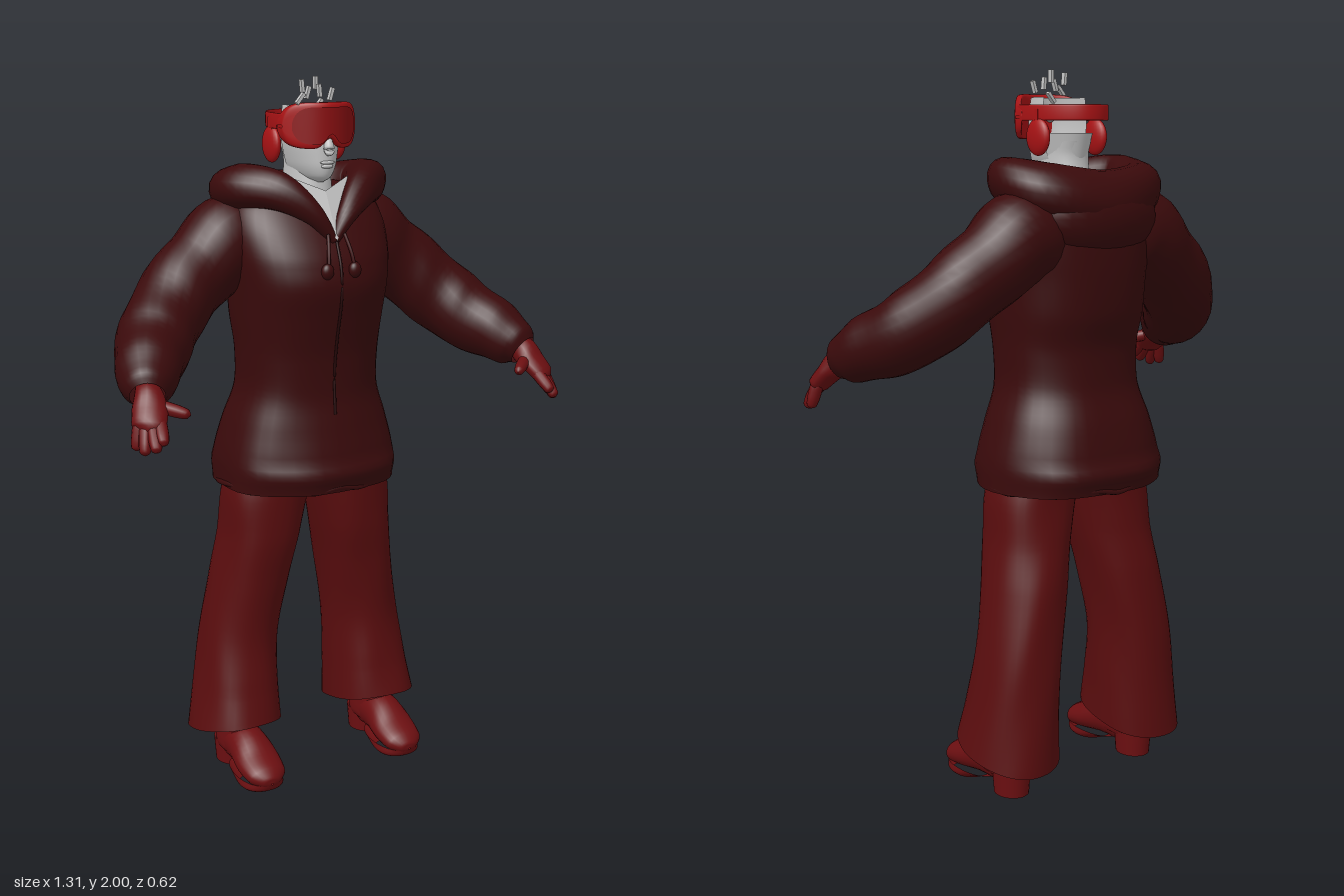
import * as THREE from 'three';

const mat = (name, color) => {
  const m = new THREE.MeshStandardMaterial({ color, side: THREE.DoubleSide });
  m.name = name;
  return m;
};
const V = (x, y, z) => new THREE.Vector3(x, y, z);

// Smooth surface from rows of points; optionally closed around each row
function surface(fn, rows, cols, wrap = true) {
  const pos = [], idx = [], n = wrap ? cols : cols + 1;
  for (let i = 0; i <= rows; i++)
    for (let j = 0; j < n; j++) pos.push(...fn(i / rows, j / cols).toArray());
  for (let i = 0; i < rows; i++)
    for (let j = 0; j < cols; j++) {
      const k = (j + 1) % n, a = i * n + j, b = i * n + k, c = a + n, d = b + n;
      idx.push(a, c, b, b, c, d);
    }
  const g = new THREE.BufferGeometry();
  g.setAttribute('position', new THREE.Float32BufferAttribute(pos, 3));
  g.setIndex(idx);
  g.computeVertexNormals();
  return g;
}

// Smooth interpolation of number triples
const spline = (list) => new THREE.CatmullRomCurve3(list.map((p) => V(...p)));

// Horizontal sections: [y, left x, right x, front z, back z, tilt]
function stack(sections, rows, wrinkle = () => 0, square = 0.9) {
  const a = spline(sections.map((s) => [s[0], s[1], s[2]]));
  const b = spline(sections.map((s) => [s[3], s[4], s[5] || 0]));
  return surface((u, v) => {
    const p = a.getPoint(u), q = b.getPoint(u), t = -v * Math.PI * 2;
    const c = Math.cos(t), s = Math.sin(t);
    const bend = (w) => Math.sign(w) * Math.abs(w) ** square;
    const k = 1 + wrinkle(p.x, t);
    return V((p.y + p.z) / 2 + bend(c) * k * (p.z - p.y) / 2, p.x + q.z * s,
      (q.x + q.y) / 2 + bend(s) * k * (q.x - q.y) / 2);
  }, rows, 40);
}

// Tapered tube: [x, y, z, side radius, upward radius]
function limb(points, rows = 16, cols = 16, fold = () => 0) {
  const path = spline(points.map((p) => p.slice(0, 3)));
  const size = spline(points.map((p) => [p[3], p[4] ?? p[3], 0]));
  return surface((u, v) => {
    const p = path.getPoint(u), r = size.getPoint(u), T = path.getTangent(u);
    const S = T.clone().cross(V(0, 1, 0)).normalize(), B = S.clone().cross(T);
    const a = v * Math.PI * 2, k = 1 + fold(u, a);
    return p.addScaledVector(S, Math.cos(a) * r.x * k).addScaledVector(B, Math.sin(a) * r.y * k);
  }, rows, cols);
}

export function createModel() {
  const jacket = mat('dark maroon jacket', 0x3a0a0b);
  const cloth = mat('deep red trousers', 0x5a0d0e);
  const leather = mat('red gloves and boots', 0x6c0f11);
  const red = mat('bright red goggles', 0xa81214);
  const lensMat = mat('red lens', 0x8c1012);
  const skin = mat('pale grey skin', 0xc4c4c4);
  const seamMat = mat('dark seam', 0x240506);

  const model = new THREE.Group();
  const add = (name, geo, m, parent = model) => {
    const mesh = new THREE.Mesh(geo, m);
    mesh.name = name;
    parent.add(mesh);
    return mesh;
  };
  const pair = (name, geo, m) => {
    add('left' + name, geo, m);
    add('right' + name, geo, m).scale.x = -1;
  };
  const ball = (x, y, z, rx, ry, rz) =>
    new THREE.SphereGeometry(1, 24, 16).scale(rx, ry, rz).translate(x, y, z);

  // Jacket body, flared below the waist and softly creased
  const body = [
    [0.87, 0.262, 0.135, -0.3], [0.95, 0.26, 0.135, -0.3], [1.05, 0.235, 0.115, -0.278],
    [1.15, 0.203, 0.1, -0.245], [1.25, 0.203, 0.105, -0.24], [1.35, 0.213, 0.125, -0.262],
    [1.45, 0.222, 0.145, -0.27], [1.52, 0.232, 0.13, -0.27], [1.6, 0.235, 0.085, -0.262],
    [1.66, 0.215, 0.04, -0.24], [1.71, 0.12, 0, -0.18], [1.715, 0.01, -0.08, -0.1],
  ].map(([y, w, f, b]) => [y, -w, w, f, b]);
  add('jacketBody', stack(body, 60, (y, t) =>
    0.012 * Math.sin(t * 7 + y * 9) * Math.max(0, 1.35 - y) / 0.48, 0.85), jacket);
  // Uneven hem
  add('jacketHem', limb([...Array(25)].map((_, i) => {
    const a = i / 24 * Math.PI * 2;
    return [Math.cos(a) * 0.258, 0.878 + 0.006 * Math.sin(a * 9), -0.083 + Math.sin(a) * 0.215, 0.008];
  }), 96, 8), jacket);

  // Sleeves
  pair('Sleeve', limb([
    [0.12, 1.58, -0.13, 0.1], [0.2, 1.56, -0.13, 0.125], [0.3, 1.49, -0.12, 0.112],
    [0.4, 1.405, -0.085, 0.108], [0.48, 1.325, -0.015, 0.104], [0.54, 1.275, 0.08, 0.09],
    [0.573, 1.24, 0.15, 0.068], [0.583, 1.225, 0.175, 0.045],
  ], 40, 24, (u, a) => 0.025 * Math.sin(u * 34 + 2 * Math.sin(a))), jacket);

  // Lowered hood: a thick roll around the neck and a bag behind it
  const half = [[0.055, 1.645, 0.08, 0.03], [0.125, 1.7, 0.02, 0.052],
    [0.19, 1.705, -0.08, 0.066], [0.15, 1.675, -0.175, 0.08]];
  const flip = half.map(([x, ...r]) => [-x, ...r]).reverse();
  add('hoodRoll', limb([[0, 1.57, 0.1, 0.012], ...half, [0, 1.65, -0.21, 0.082], ...flip,
    [0, 1.57, 0.1, 0.012]], 70, 20, (u, a) => 0.05 * Math.sin(a * 3 + u * 20)), jacket);
  add('hoodBag', ball(0, 1.61, -0.195, 0.2, 0.12, 0.1), jacket);

  // Front opening, drawstrings and toggles
  add('frontSeam', limb([[0, 1.57, 0.113, 0.004], [0, 1.5, 0.139, 0.004], [0, 1.42, 0.142, 0.004],
    [0, 1.3, 0.116, 0.004], [0, 1.2, 0.102, 0.004], [0, 1.09, 0.108, 0.004]], 30, 8), seamMat);
  pair('Drawstring', limb([[0.025, 1.59, 0.11, 0.005], [0.035, 1.54, 0.132, 0.005],
    [0.04, 1.5, 0.142, 0.005]], 8, 8), jacket);
  pair('Toggle', ball(0.042, 1.495, 0.138, 0.018, 0.022, 0.016), jacket);

  // Flared trousers, hem raised over the instep
  pair('Trouser', stack([
    [0.98, -0.01, 0.2, 0.05, -0.21], [0.86, 0.005, 0.25, 0.05, -0.2], [0.72, 0.035, 0.262, 0.046, -0.21],
    [0.6, 0.062, 0.282, 0.03, -0.228], [0.42, 0.093, 0.312, 0.014, -0.24],
    [0.25, 0.1, 0.338, 0.036, -0.245, 0.01], [0.13, 0.1, 0.36, 0.058, -0.25, 0.04],
  ], 36, (y, t) => 0.012 * Math.sin(t * 5 + y * 14)), cloth);

  // Boots: shaft, foot with rounded toe, sole and heel
  pair('BootShaft', stack([[0.3, 0.18, 0.28, -0.02, -0.15], [0.15, 0.18, 0.28, 0.01, -0.15],
    [0.06, 0.178, 0.282, 0.02, -0.165], [0.05, 0.22, 0.24, -0.06, -0.09]], 12), leather);
  pair('BootFoot', limb([[0.23, 0.075, -0.15, 0.03, 0.035], [0.23, 0.085, -0.08, 0.052, 0.065],
    [0.23, 0.085, 0, 0.058, 0.062], [0.23, 0.062, 0.07, 0.066, 0.045],
    [0.23, 0.046, 0.125, 0.058, 0.034], [0.23, 0.036, 0.155, 0.025, 0.016],
    [0.23, 0.035, 0.159, 0.003, 0.003]], 28, 24), leather);
  pair('BootSole', stack([[0.003, 0.172, 0.288, 0.135, 0.015], [0.012, 0.165, 0.295, 0.148, 0],
    [0.03, 0.165, 0.295, 0.157, -0.06]], 6), leather);
  pair('BootHeel', new THREE.CylinderGeometry(0.052, 0.047, 0.07, 24).scale(1, 1, 1.15)
    .translate(0.23, 0.035, -0.112), leather);

  // Gloves: cuff, palm, four fingers and a thumb
  pair('GlovePalm', limb([[0.575, 1.24, 0.15, 0.03], [0.582, 1.225, 0.18, 0.038],
    [0.592, 1.198, 0.21, 0.046, 0.03], [0.608, 1.165, 0.24, 0.045, 0.026],
    [0.617, 1.145, 0.25, 0.01, 0.01]], 16, 18), leather);
  const fingers = [[0.582, 1.17, 0.25, 0.594, 1.128, 0.302], [0.6, 1.16, 0.25, 0.612, 1.11, 0.298],
    [0.617, 1.155, 0.24, 0.632, 1.098, 0.268], [0.626, 1.165, 0.222, 0.641, 1.103, 0.232],
    [0.57, 1.205, 0.205, 0.505, 1.185, 0.262]];
  fingers.forEach(([x, y, z, X, Y, Z], i) => {
    const at = (t, r) => [x + (X - x) * t, y + (Y - y) * t, z + (Z - z) * t, r];
    pair('GloveFinger' + (i + 1), limb([at(-0.3, 0.012), at(0.1, 0.018), at(0.6, 0.017),
      at(0.92, 0.013), at(1.02, 0.002)], 14, 12), leather);
  });

  // Neck and the bare chest inside the collar
  add('neck', stack([[1.62, -0.07, 0.07, 0.04, -0.16], [1.7, -0.062, 0.062, 0.025, -0.145],
    [1.77, -0.058, 0.058, 0.015, -0.135], [1.81, -0.06, 0.06, 0.01, -0.145]], 12), skin);
  const chest = new THREE.BufferGeometry().setFromPoints(
    [V(0, 1.572, 0.118), V(0.085, 1.735, 0.02), V(0, 1.7, 0.05),
      V(0, 1.572, 0.118), V(0, 1.7, 0.05), V(-0.085, 1.735, 0.02)]);
  chest.computeVertexNormals();
  add('chest', chest, skin);

  // Face: an open shell, hollow behind and above
  const face = spline([[1.722, 0.02, 0.03], [1.735, 0.043, 0.052], [1.76, 0.058, 0.06],
    [1.79, 0.067, 0.06], [1.83, 0.075, 0.058], [1.87, 0.077, 0.056], [1.925, 0.073, 0.045]]);
  add('face', surface((u, v) => {
    const p = face.getPoint(u), a = (v - 0.5) * Math.PI * 1.1;
    return V(Math.sin(a) * p.y, p.x, -0.05 + Math.cos(a) * (p.z + 0.05));
  }, 24, 32, false), skin);
  add('skullBase', surface((u, v) => {
    const a = Math.PI * (v - 0.5), r = 0.055 + 0.018 * u;
    return V(Math.sin(a) * r, 1.755 + 0.075 * u, -0.05 - Math.cos(a) * (r + 0.028));
  }, 6, 24, false), skin);
  add('nose', limb([[0, 1.86, 0.05, 0.008], [0, 1.83, 0.064, 0.012], [0, 1.808, 0.068, 0.015],
    [0, 1.799, 0.058, 0.006]], 12, 12), skin);
  add('upperLip', ball(0, 1.776, 0.059, 0.022, 0.005, 0.006), skin);
  add('lowerLip', ball(0, 1.766, 0.058, 0.018, 0.006, 0.007), skin);
  pair('Eye', ball(0.03, 1.872, 0.035, 0.013, 0.013, 0.013), skin);

  // Goggles: frame and lens curve around the face, with a nose notch
  const edge = (x, inset) => {
    const w = Math.min(1, Math.abs(x) / 0.112), round = (1 - w ** 6) ** 0.5;
    const bottom = 1.868 - (0.055 - 0.028 * Math.exp(-((x / 0.022) ** 2))) * round + inset;
    return [bottom, 1.875 + 0.06 * round - inset];
  };
  const curve = (x) => 0.082 - 5.6 * x * x;
  add('goggleFrame', surface((u, v) => {
    const x = -0.112 * Math.cos(u * Math.PI), [lo, hi] = edge(x, 0), a = v * Math.PI * 2;
    const sq = (w) => Math.sign(w) * Math.abs(w) ** 0.4;
    return V(x, (lo + hi) / 2 + sq(Math.sin(a)) * (hi - lo) / 2,
      curve(x) - 0.016 + sq(Math.cos(a)) * 0.016);
  }, 40, 32), red);
  add('goggleLens', surface((u, v) => {
    const x = -0.094 * Math.cos(u * Math.PI), [lo, hi] = edge(x * 1.17, 0.012);
    return V(x, lo + (hi - lo) * v, curve(x) + 0.003);
  }, 36, 8, false), lensMat);

  // Strap standing free behind the head, with a thin thickness
  add('goggleStrap', surface((u, v) => {
    const a = Math.PI * (-0.08 + 1.16 * u), b = v * Math.PI * 2;
    const r = 0.003 * Math.cos(b);
    return V(Math.cos(a) * (0.108 + r), 1.884 + 0.021 * Math.sign(Math.sin(b)) * Math.abs(Math.sin(b)) ** 0.4,
      -0.03 - Math.sin(a) * (0.172 + r));
  }, 48, 12), red);

  // Ear pads with a short stem to the strap
  pair('EarPad', ball(0.1, 1.82, -0.075, 0.018, 0.05, 0.046), red);
  pair('EarStem', new THREE.BoxGeometry(0.008, 0.05, 0.024).translate(0.104, 1.868, -0.07), red);

  // Sparse wisps of hair above the goggles
  [[-0.075, 1.945, 0.045], [-0.05, 1.96, 0.04], [-0.02, 1.965, 0.05], [-0.005, 1.983, 0],
    [0.015, 1.955, 0.05], [-0.035, 1.975, -0.02], [0.02, 1.925, -0.03]].forEach(([x, y, z], i) => {
    const wisp = add('hairWisp' + (i + 1), new THREE.BoxGeometry(0.009, 0.034, 0.014), skin);
    wisp.position.set(x, y, z);
    wisp.rotation.z = i === 3 ? 0 : -0.7 + (i % 3) * 0.4;
  });
  return model;
}
